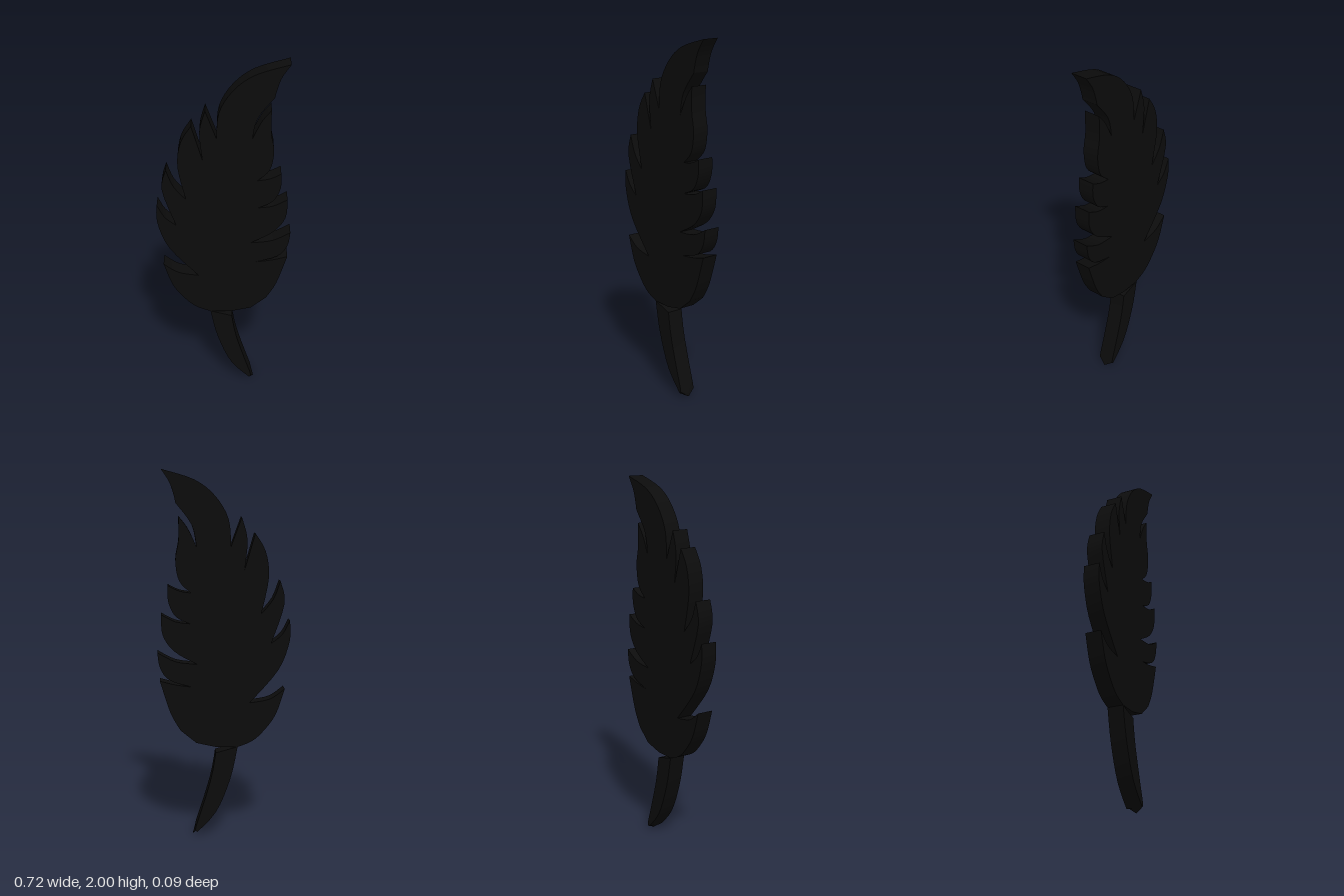
import * as THREE from 'three';
import { toCreasedNormals } from 'three/addons/utils/BufferGeometryUtils.js';

const HALF = 0.045; // half thickness of the plate

// Each row is one smooth edge; sharp corners lie where rows meet.
const LEFT_BARBS = [
  [[0.33, 2], [0.155, 1.945], [0.045, 1.86], [-0.025, 1.74], [-0.038, 1.595]],
  [[-0.038, 1.595], [-0.095, 1.75]],
  [[-0.095, 1.75], [-0.125, 1.63], [-0.11, 1.47]],
  [[-0.11, 1.47], [-0.167, 1.665]],
  [[-0.167, 1.665], [-0.222, 1.57], [-0.24, 1.43], [-0.2, 1.235]],
  [[-0.2, 1.235], [-0.265, 1.315], [-0.302, 1.412]],
  [[-0.302, 1.412], [-0.325, 1.29], [-0.255, 1.075]],
  [[-0.255, 1.075], [-0.315, 1.125], [-0.355, 1.2]],
  [[-0.355, 1.2], [-0.355, 1.09], [-0.295, 0.93], [-0.14, 0.75]],
  [[-0.14, 0.75], [-0.25, 0.77], [-0.33, 0.825]],
  [[-0.33, 0.825], [-0.28, 0.68], [-0.205, 0.58], [-0.145, 0.532], [-0.075, 0.505]],
];
const RIGHT_BARBS = [
  [[-0.075, 0.505], [0.04, 0.505]],
  [[0.04, 0.505], [0.15, 0.53]],
  [[0.15, 0.53], [0.235, 0.6]],
  [[0.235, 0.6], [0.29, 0.7], [0.345, 0.875]],
  [[0.345, 0.875], [0.26, 0.853], [0.17, 0.84]],
  [[0.17, 0.84], [0.29, 0.878], [0.343, 0.945], [0.357, 1.03]],
  [[0.357, 1.03], [0.26, 0.98], [0.145, 0.965]],
  [[0.145, 0.965], [0.265, 1.035], [0.328, 1.125], [0.335, 1.235]],
  [[0.335, 1.235], [0.26, 1.197], [0.18, 1.185]],
  [[0.18, 1.185], [0.258, 1.225], [0.297, 1.305], [0.298, 1.39]],
  [[0.298, 1.39], [0.24, 1.362], [0.175, 1.35]],
  [[0.175, 1.35], [0.238, 1.415], [0.257, 1.525], [0.24, 1.63], [0.24, 1.755]],
  [[0.24, 1.755], [0.19, 1.69], [0.145, 1.595]],
  [[0.145, 1.595], [0.17, 1.71], [0.255, 1.825]],
  [[0.255, 1.825], [0.262, 1.86], [0.285, 1.93], [0.33, 2]],
];
const QUILL = [
  [[-0.075, 0.505], [-0.035, 0.325], [0.045, 0.135], [0.172, 0]],
  [[0.172, 0], [0.075, 0.31], [0.04, 0.505]],
];

// Joins smooth edges into one closed outline
function outline(edges) {
  const points = [];
  for (const edge of edges) {
    const curve = new THREE.SplineCurve(edge.map(([x, y]) => new THREE.Vector2(x, y)));
    const divisions = edge.length > 2 ? (edge.length - 1) * 4 : 1;
    points.push(...curve.getPoints(divisions).slice(0, -1));
  }
  return new THREE.Shape(points);
}

function plate(name, edges, material, steps = 1, shape = null) {
  const geometry = new THREE.ExtrudeGeometry(outline(edges), { depth: HALF * 2, bevelEnabled: false, steps });
  geometry.translate(0, 0, -HALF);
  if (shape) shape(geometry.attributes.position);
  const mesh = new THREE.Mesh(toCreasedNormals(geometry, 0.4), material);
  mesh.name = name;
  return mesh;
}

// Pulls the outer corners of the quill end back, leaving a central point
function sharpenTip(position) {
  for (let i = 0; i < position.count; i++) {
    if (position.getY(i) < 0.005 && Math.abs(position.getZ(i)) > HALF / 2) {
      position.setXY(i, position.getX(i) - 0.014, position.getY(i) + 0.033);
    }
  }
}

export function createModel() {
  const black = new THREE.MeshStandardMaterial({ color: 0x0c0c0c });
  black.name = 'feather black';
  const feather = new THREE.Group();
  feather.name = 'feather';
  feather.add(
    plate('vane', [...LEFT_BARBS, ...RIGHT_BARBS], black),
    plate('quill', QUILL, black, 2, sharpenTip),
  );
  return feather;
}
